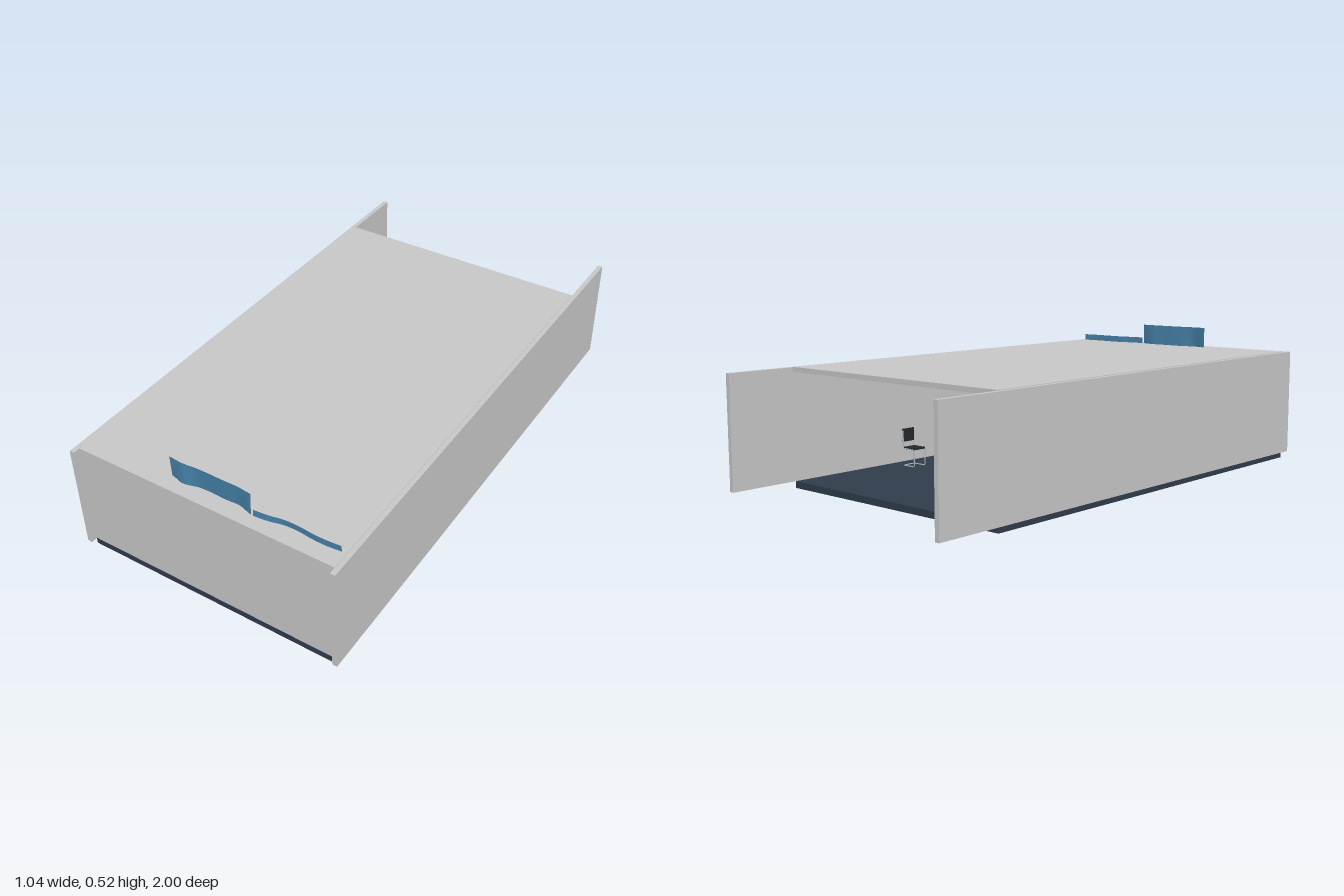
import * as THREE from 'three';

const mat = (name, color, side = THREE.FrontSide) => {
  const m = new THREE.MeshStandardMaterial({ color, side });
  m.name = name;
  return m;
};

export function createModel() {
  const root = new THREE.Group();
  root.name = 'meetingRoom';
  const wallGrey = mat('wall grey', 0xc8c8c8);
  const navy = mat('floor navy', 0x303d4c);
  const blue = mat('ribbon blue', 0x4682a9, THREE.DoubleSide);
  const white = mat('table white', 0xe2e2e0);
  const black = mat('chair black', 0x24282c);
  const chrome = mat('chair chrome', 0xb4b8bb);

  // box given by its min and max corners
  const box = (name, x0, x1, y0, y1, z0, z1, material, parent = root) => {
    const mesh = new THREE.Mesh(new THREE.BoxGeometry(x1 - x0, y1 - y0, z1 - z0), material);
    mesh.position.set((x0 + x1) / 2, (y0 + y1) / 2, (z0 + z1) / 2);
    mesh.name = name;
    parent.add(mesh);
    return mesh;
  };

  // shell, open at the back
  box('floor', -0.505, 0.505, 0, 0.025, -0.735, 0.975, navy);
  box('leftWall', 0.504, 0.522, 0.025, 0.44, -1, 1, wallGrey);
  box('rightWall', -0.522, -0.504, 0.025, 0.44, -1, 1, wallGrey);
  box('frontWall', -0.504, 0.504, 0.025, 0.425, 0.957, 0.975, wallGrey);
  box('ceiling', -0.504, 0.504, 0.424, 0.442, -0.735, 0.975, wallGrey);

  // framed ceiling lights in a grid
  for (const z of [-0.53, -0.1, 0.33, 0.76]) {
    for (const x of [-0.37, 0.005, 0.38]) {
      const lamp = new THREE.Group();
      lamp.name = 'ceilingLight';
      for (const s of [-1, 1]) {
        box('lightFrameSide', s * 0.032 - 0.004, s * 0.032 + 0.004, -0.004, 0, -0.085, 0.085, wallGrey, lamp);
        box('lightFrameEnd', -0.028, 0.028, -0.004, 0, s * 0.081 - 0.004, s * 0.081 + 0.004, wallGrey, lamp);
      }
      lamp.position.set(x, 0.424, z);
      root.add(lamp);
    }
  }

  // wavy panels standing before the front wall and rising through the ceiling
  const ribbon = (name, x0, x1, top, waveZ) => {
    const low = 0.1;
    const geo = new THREE.PlaneGeometry(x1 - x0, top - low, 40, 8);
    geo.translate((x0 + x1) / 2, (top + low) / 2, 0);
    const curve = new THREE.SplineCurve(waveZ.map((z, i) =>
      new THREE.Vector2(x0 + (x1 - x0) * i / (waveZ.length - 1), z)));
    const p = geo.attributes.position;
    for (let i = 0; i < p.count; i++) {
      const t = THREE.MathUtils.clamp((p.getX(i) - x0) / (x1 - x0), 0, 1);
      const flatten = THREE.MathUtils.clamp((0.54 - p.getY(i)) / 0.1, 0.3, 1);
      p.setZ(i, 0.918 + (curve.getPoint(t).y - 0.918) * flatten);
    }
    geo.computeVertexNormals();
    const mesh = new THREE.Mesh(geo, blue);
    mesh.name = name;
    root.add(mesh);
  };
  ribbon('tallRibbon', -0.157, 0.164, 0.525, [0.914, 0.928, 0.914, 0.911, 0.913, 0.911, 0.927]);
  ribbon('lowRibbon', 0.173, 0.488, 0.467, [0.928, 0.922, 0.909, 0.907, 0.913, 0.914, 0.909]);

  // meeting table
  box('tableTop', -0.2, 0.2, 0.122, 0.132, -0.3, -0.06, white);
  for (const x of [-0.09, 0.09]) {
    box('tableLeg', x - 0.006, x + 0.006, 0.028, 0.122, -0.28, -0.265, black);
    box('tableLeg', x - 0.006, x + 0.006, 0.028, 0.122, -0.095, -0.08, black);
  }

  // cantilever chairs: bent tube frame with a thin seat and back
  const chair = (x, z, turn) => {
    const g = new THREE.Group();
    g.name = 'chair';
    const path = new THREE.CurvePath();
    const pts = [[-0.028, 0.14, -0.032], [-0.028, 0.07, -0.03], [-0.028, 0.068, 0.03],
      [-0.028, 0.003, 0.03], [-0.028, 0.003, -0.03]].map(a => new THREE.Vector3(...a));
    const other = pts.map(v => new THREE.Vector3(-v.x, v.y, v.z)).reverse();
    const all = [...pts, ...other];
    for (let i = 0; i < all.length - 1; i++) path.add(new THREE.LineCurve3(all[i], all[i + 1]));
    const frame = new THREE.Mesh(new THREE.TubeGeometry(path, 72, 0.0022, 6), chrome);
    frame.name = 'chairFrame';
    g.add(frame);
    box('chairSeat', -0.028, 0.028, 0.068, 0.075, -0.03, 0.03, black, g);
    box('chairBack', -0.028, 0.028, 0.095, 0.145, -0.036, -0.03, black, g);
    g.position.set(x, 0.025, z);
    g.rotation.y = turn;
    root.add(g);
  };
  for (const s of [-1, 1]) {
    chair(s * 0.4, -0.25, -s * Math.PI / 2);
    chair(s * 0.24, -0.12, -s * Math.PI / 2);
  }
  return root;
}
